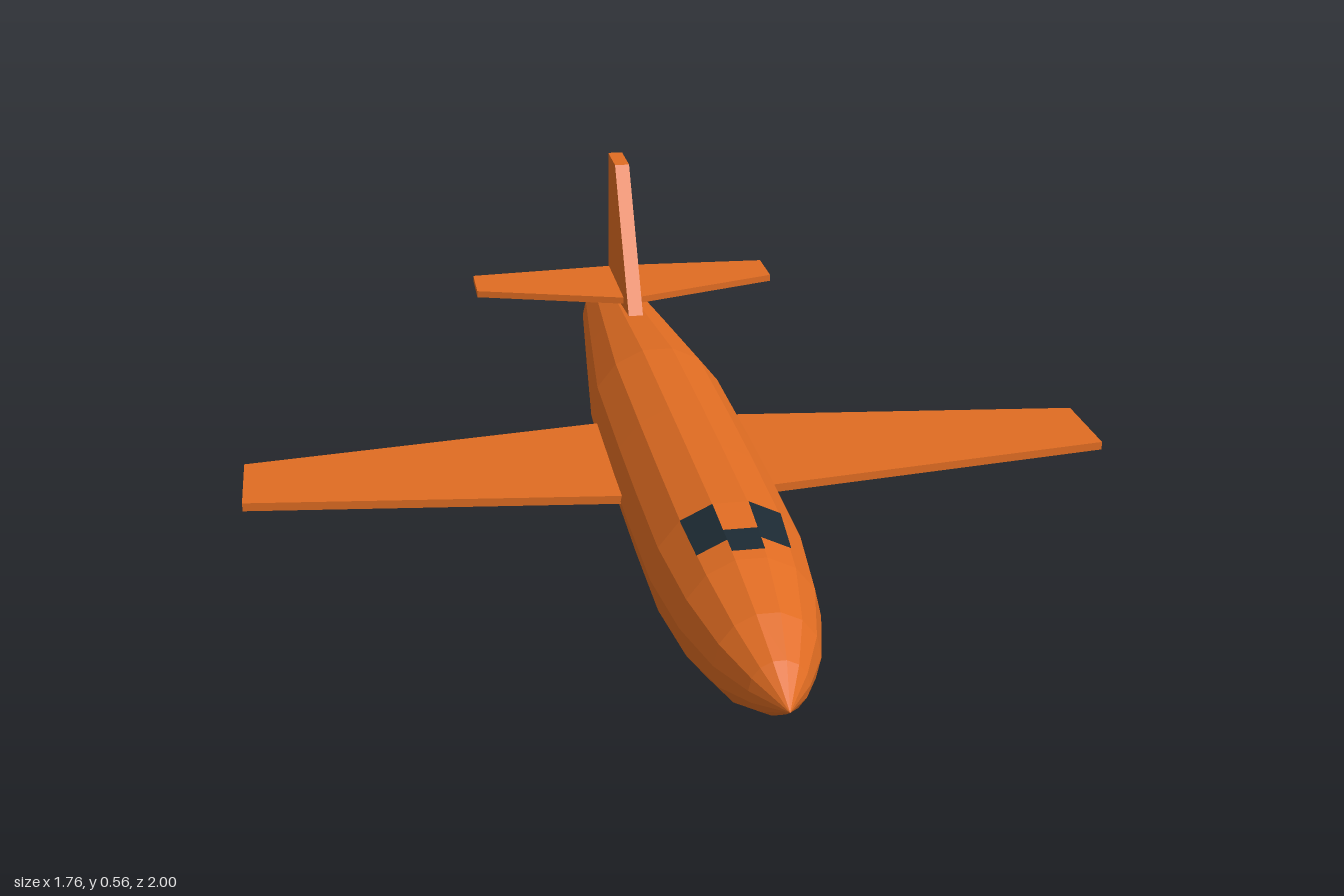
import * as THREE from 'three';

const paint = new THREE.MeshStandardMaterial({ color: 0xe06c22, flatShading: true });
const glass = new THREE.MeshStandardMaterial({ color: 0x1c2a33, flatShading: true, side: THREE.DoubleSide });
const metal = new THREE.MeshStandardMaterial({ color: 0x46525c, flatShading: true });

const SIDES = 14;
const AXIS_Y = 0.1455;

// Fuselage stations from tail to nose: [z, radius]
const stations = [
  [-0.95, 0.08], [-0.62, 0.114], [-0.3, 0.146], [0.04, 0.149], [0.25, 0.149],
  [0.5, 0.146], [0.69, 0.126], [0.83, 0.093], [0.92, 0.052], [1, 0],
];

function radiusAt(z) {
  const i = stations.findIndex((s) => s[0] >= z);
  const [z0, r0] = stations[i - 1], [z1, r1] = stations[i];
  return r0 + (r1 - r0) * (z - z0) / (z1 - z0);
}

// Flat plate of even thickness, centred on its own plane
function plate(points, thickness) {
  const shape = new THREE.Shape(points.map(([a, b]) => new THREE.Vector2(a, b)));
  return new THREE.ExtrudeGeometry(shape, { depth: thickness, bevelEnabled: false })
    .translate(0, 0, -thickness / 2);
}

// Window lying on one fuselage facet; a0 and a1 are angles from straight up towards +x
function pane(zFront, zBack, a0, a1) {
  const corner = (z, a) => {
    const r = radiusAt(z) + 0.003;
    return [r * Math.sin(a), AXIS_Y + r * Math.cos(a), z];
  };
  const geo = new THREE.BufferGeometry();
  geo.setAttribute('position', new THREE.Float32BufferAttribute([
    ...corner(zFront, a0), ...corner(zFront, a1), ...corner(zBack, a1), ...corner(zBack, a0),
  ], 3));
  geo.setIndex([0, 1, 2, 0, 2, 3]);
  geo.computeVertexNormals();
  return geo;
}

export function createModel() {
  const model = new THREE.Group();
  model.name = 'rocketPlane';
  const add = (name, geo, mat) => {
    const mesh = new THREE.Mesh(geo, mat);
    mesh.name = name;
    model.add(mesh);
    return mesh;
  };

  // Fuselage with a closed tail
  const profile = [[-0.95, 0], ...stations].map(([z, r]) => new THREE.Vector2(r, z));
  add('fuselage', new THREE.LatheGeometry(profile, SIDES, Math.PI / 2)
    .rotateX(Math.PI / 2).translate(0, AXIS_Y, 0), paint);

  // Wings, tailplanes and side windows, mirrored
  const wing = [[0.05, 0.168], [0.88, 0.062], [0.88, -0.13], [0.05, -0.233]];
  const tail = [[0.02, -0.66], [0.35, -0.765], [0.35, -0.88], [0.02, -0.9]];
  const facet = Math.PI / SIDES;
  for (const [side, s] of [['left', 1], ['right', -1]]) {
    const mirror = (pts) => pts.map(([x, z]) => [s * x, z]);
    add(side + 'Wing', plate(mirror(wing), 0.017).rotateX(Math.PI / 2).translate(0, 0.149, 0), paint);
    add(side + 'Tailplane', plate(mirror(tail), 0.015).rotateX(Math.PI / 2).translate(0, 0.277, 0), paint);
    add(side + 'Window', pane(0.628, 0.505, s * facet, s * 3 * facet), glass);
  }

  // Windscreen on the top facet
  add('windscreen', pane(0.665, 0.595, -facet, facet), glass);

  // Tail fin, its foot sunk into the fuselage
  const fin = [[-0.565, 0.2], [-0.605, 0.26], [-0.798, 0.563], [-0.91, 0.563], [-0.942, 0.2]];
  add('tailFin', plate(fin, 0.033).rotateY(-Math.PI / 2), paint);

  // Four rocket nozzles set in a cross
  for (let i = 0; i < 4; i++) {
    const a = i * Math.PI / 2;
    const nozzle = add('nozzle' + (i + 1),
      new THREE.CylinderGeometry(0.024, 0.024, 0.07, 10).rotateX(Math.PI / 2), metal);
    nozzle.position.set(0.04 * Math.cos(a), AXIS_Y + 0.04 * Math.sin(a), -0.965);
  }
  return model;
}
